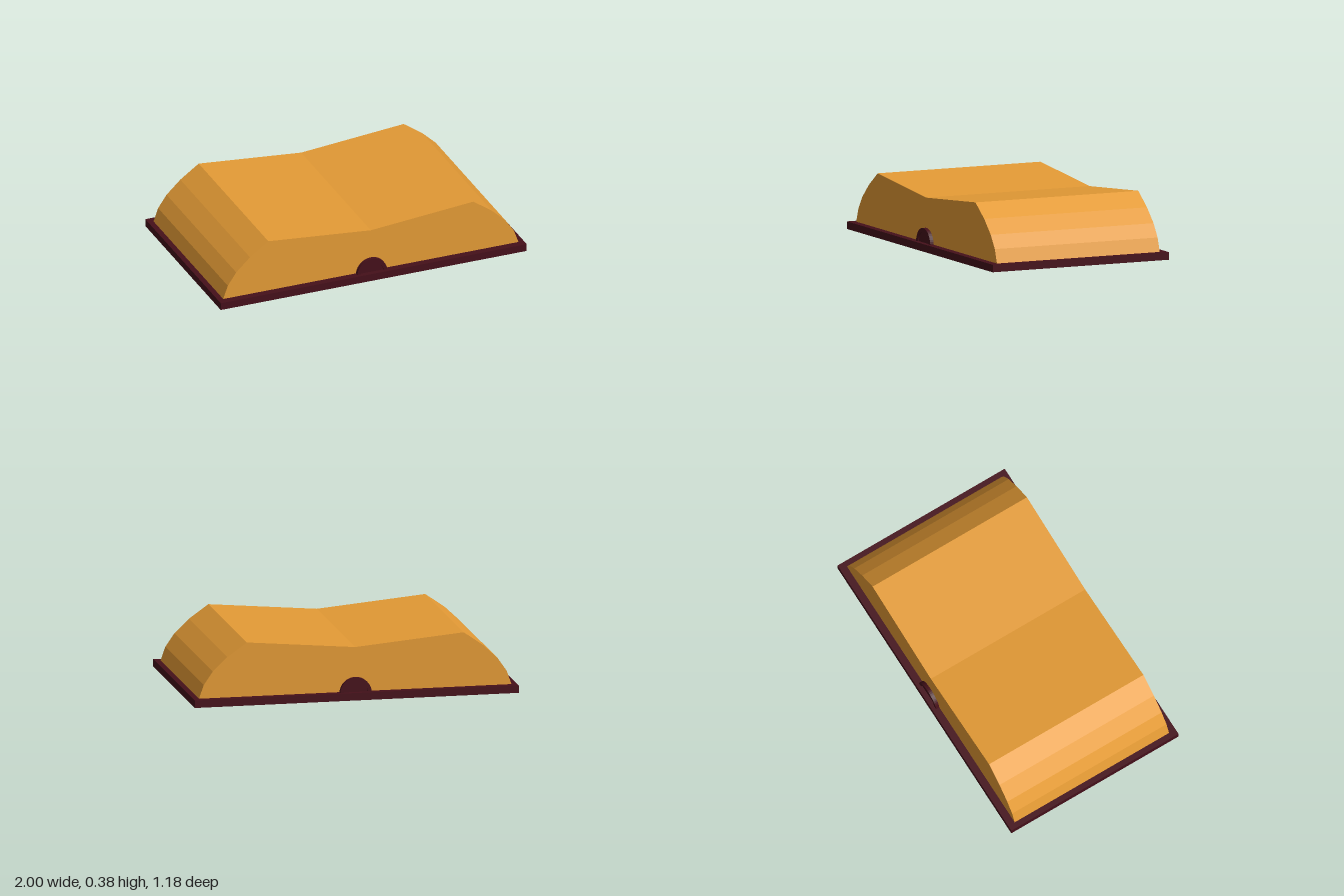
import * as THREE from 'three';

const MAROON = 0x45101a;
const AMBER = 0xe39a35;

function addPart(group, name, geometry, color) {
  const mesh = new THREE.Mesh(geometry, new THREE.MeshStandardMaterial({ color, flatShading: true }));
  mesh.name = name;
  group.add(mesh);
  return mesh;
}

export function createModel() {
  const group = new THREE.Group();
  group.name = 'domedBlock';

  // Flat base slab
  const base = addPart(group, 'base', new THREE.BoxGeometry(2, 0.046, 1.185), MAROON);
  base.position.y = 0.023;

  // Body: faceted shoulders with a shallow valley along the top
  const side = [[0.965, 0.046], [0.935, 0.13], [0.88, 0.21], [0.79, 0.295], [0.67, 0.38]];
  const mirrored = side.map(([x, y]) => [-x, y]).reverse();
  const profile = [...side, [0, 0.32], ...mirrored].map(([x, y]) => new THREE.Vector2(x, y));
  const bodyGeometry = new THREE.ExtrudeGeometry(new THREE.Shape(profile), { depth: 1.094, bevelEnabled: false });
  bodyGeometry.translate(0, 0, -0.547);
  addPart(group, 'body', bodyGeometry, AMBER);

  // Half-round tabs on the front and back: raised arch around a recessed panel
  const arch = new THREE.Shape();
  arch.absarc(0, 0, 0.098, 0, Math.PI, false);
  arch.absarc(0, 0, 0.075, Math.PI, 0, true);
  const panel = new THREE.Shape();
  panel.absarc(0, 0, 0.077, 0, Math.PI, false);
  for (const [name, turn] of [['front', 0], ['back', Math.PI]]) {
    const tab = new THREE.Group();
    tab.name = name + 'Tab';
    const options = { bevelEnabled: false, curveSegments: 12 };
    addPart(tab, name + 'TabArch', new THREE.ExtrudeGeometry(arch, { ...options, depth: 0.03 }), MAROON);
    addPart(tab, name + 'TabPanel', new THREE.ExtrudeGeometry(panel, { ...options, depth: 0.022 }), MAROON);
    tab.position.set(0, 0.038, turn ? -0.54 : 0.54);
    tab.rotation.y = turn;
    group.add(tab);
  }

  return group;
}
